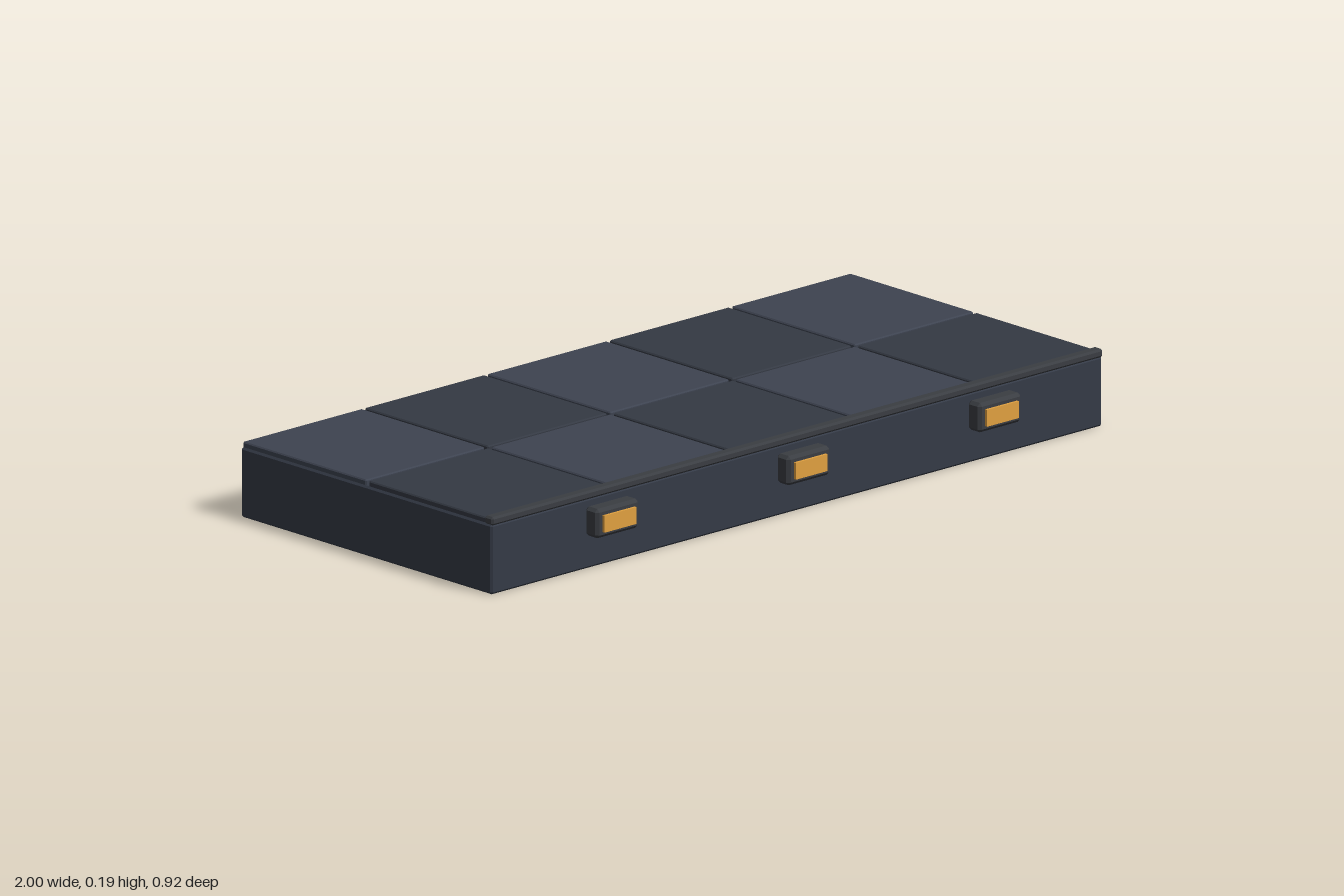
import * as THREE from 'three';
import { ConvexGeometry } from 'three/addons/geometries/ConvexGeometry.js';

const material = (color) => new THREE.MeshStandardMaterial({ color });

// Box with chamfered edges, given by its extents on each axis
function chamferBox(name, [x0, x1], [y0, y1], [z0, z1], c, mat) {
  const half = [(x1 - x0) / 2, (y1 - y0) / 2, (z1 - z0) / 2];
  const points = [];
  for (const sx of [-1, 1]) for (const sy of [-1, 1]) for (const sz of [-1, 1]) {
    for (let axis = 0; axis < 3; axis++) {
      const p = half.map((h, i) => (i === axis ? h : h - c));
      points.push(new THREE.Vector3(p[0] * sx, p[1] * sy, p[2] * sz));
    }
  }
  const mesh = new THREE.Mesh(new ConvexGeometry(points), mat);
  mesh.position.set((x0 + x1) / 2, (y0 + y1) / 2, (z0 + z1) / 2);
  mesh.name = name;
  return mesh;
}

export function createModel() {
  const model = new THREE.Group();
  model.name = 'floorPlatform';
  const bodyMat = material(0x343a46);
  const tileMats = [material(0x3d4350), material(0x343943)];
  const trimMat = material(0x3a3d42);
  const lampMat = material(0xe0a040);

  // Slab
  model.add(chamferBox('slab', [-1, 1], [0, 0.174], [-0.461, 0.411], 0.005, bodyMat));

  // Checkered deck plates, two rows of five with narrow gaps
  const rows = [[-0.459, -0.031], [-0.021, 0.4]];
  const gap = 0.005;
  rows.forEach((z, r) => {
    for (let i = 0; i < 5; i++) {
      const x = -1 + i * 0.4;
      model.add(chamferBox('deckPlate', [x + gap, x + 0.4 - gap], [0.17, 0.187], z, 0.003, tileMats[(i + r) % 2]));
    }
  });

  // Raised nosing along the front edge
  model.add(chamferBox('frontNosing', [-1, 1], [0.172, 0.193], [0.385, 0.414], 0.005, trimMat));

  // Marker lamps on the front face
  for (const x of [-0.626, 0, 0.626]) {
    const lamp = new THREE.Group();
    lamp.name = 'markerLamp';
    lamp.add(chamferBox('lampHousing', [-0.07, 0.07], [0.084, 0.157], [0.41, 0.455], 0.008, trimMat));
    const lens = new THREE.Mesh(new THREE.BoxGeometry(0.104, 0.042, 0.013), lampMat);
    lens.name = 'lampLens';
    lens.position.set(0, 0.12, 0.4555);
    lamp.add(lens);
    lamp.position.x = x;
    model.add(lamp);
  }
  return model;
}
